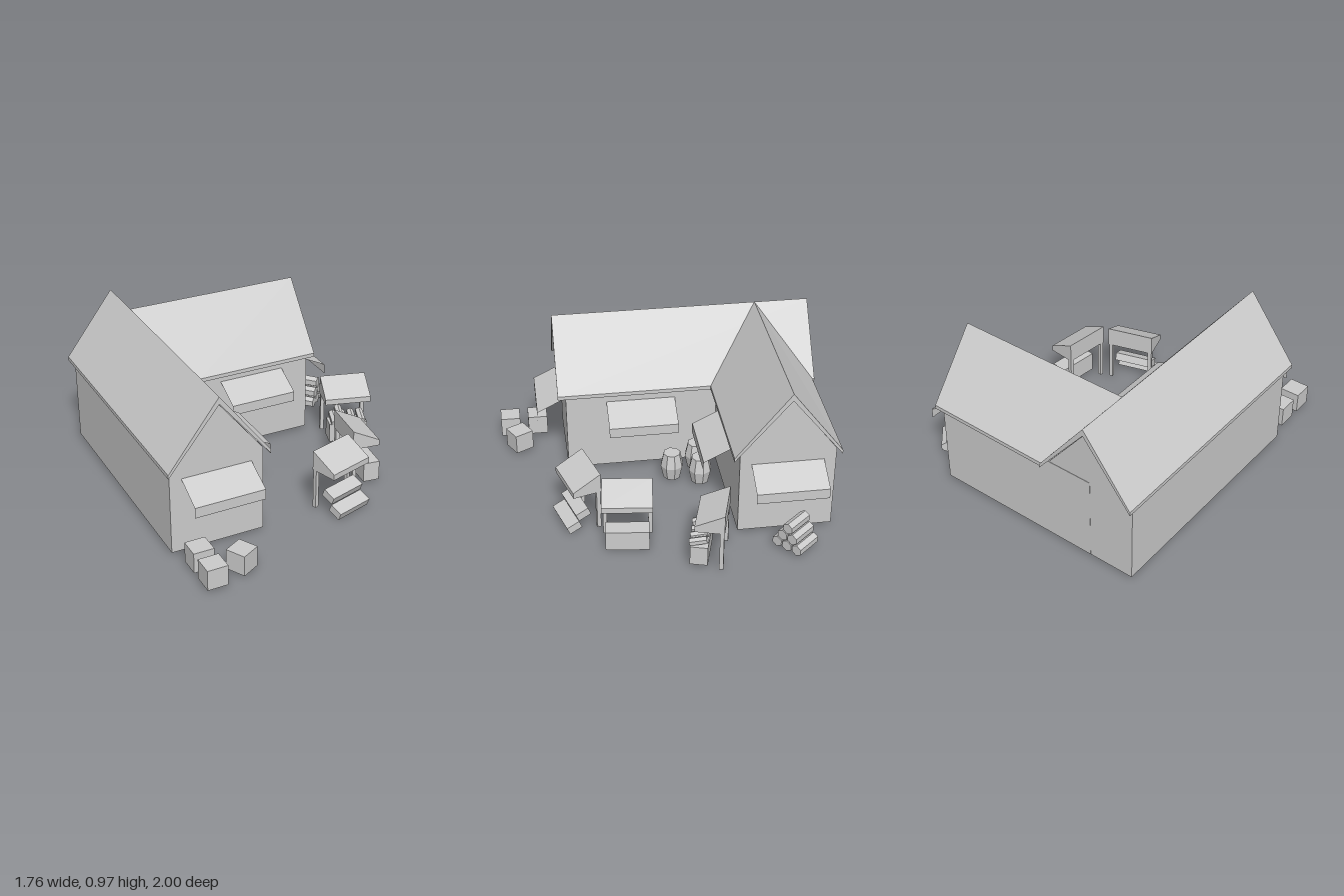
import * as THREE from 'three';

const BASE = 0.017;
const grey = new THREE.MeshStandardMaterial({ color: 0xcccccc, flatShading: true });
const greySheet = new THREE.MeshStandardMaterial({ color: 0xcccccc, flatShading: true, side: THREE.DoubleSide });

function add(parent, name, geometry, x = 0, y = 0, z = 0, ry = 0, material = grey) {
  const mesh = new THREE.Mesh(geometry, material);
  mesh.name = name;
  mesh.position.set(x, y, z);
  mesh.rotation.y = ry;
  parent.add(mesh);
  return mesh;
}

// closed outline extruded along z from 0 to length
function prism(points, length) {
  const shape = new THREE.Shape(points.map(([x, y]) => new THREE.Vector2(x, y)));
  return new THREE.ExtrudeGeometry(shape, { depth: length, bevelEnabled: false });
}

function gableWalls(half, length) {
  return prism([[-half, BASE], [half, BASE], [half, 0.56], [0, 0.925], [-half, 0.56]], length);
}

function gableRoof(half, length) {
  return prism([[-half, 0.54], [0, 0.93], [half, 0.54], [half, 0.565], [0, 0.975], [-half, 0.565]], length);
}

// bent sheet: sloping top and hanging front lip, wall side at z = 0
function awningSheet() {
  const g = new THREE.PlaneGeometry(0.435, 1, 1, 2);
  const rows = [[0.49, 0], [0.4, 0.18], [0.335, 0.18]];
  const p = g.attributes.position;
  for (let i = 0; i < p.count; i++) {
    const [y, z] = rows[Math.floor(i / 2)];
    p.setXYZ(i, p.getX(i), y, z);
  }
  const flat = g.toNonIndexed();
  flat.computeVertexNormals();
  return flat;
}

function logGeometry(radius, length) {
  return new THREE.CylinderGeometry(radius, radius, length, 6).rotateX(Math.PI / 2);
}

// market stall: wedge roof on two rear posts, front towards local +z
function stall(parent, name, x, z, ry) {
  const group = new THREE.Group();
  group.name = name;
  group.position.set(x, 0, z);
  group.rotation.y = ry;
  parent.add(group);
  const d = 0.0875;
  const roof = prism([[-d, 0.275], [d, 0.275], [d, 0.312], [-d, 0.4]], 0.3);
  roof.translate(0, 0, -0.15).rotateY(-Math.PI / 2);
  add(group, 'stallRoof', roof);
  for (const side of [-1, 1]) {
    add(group, 'stallPost', new THREE.BoxGeometry(0.024, 0.262, 0.024), side * 0.135, 0.146, -0.072);
  }
  return group;
}

export function createModel() {
  const model = new THREE.Group();
  model.name = 'marketHouse';

  // L-shaped house: long wing along z, side wing along x
  const ridgeX = -0.568, ridgeZ = -0.658;
  add(model, 'longWingWalls', gableWalls(0.29, 1.53), ridgeX, 0, -0.945);
  add(model, 'longWingRoof', gableRoof(0.314, 1.635), ridgeX, 0, -1);
  add(model, 'sideWingWalls', gableWalls(0.288, 1.093).rotateY(Math.PI / 2), ridgeX, 0, ridgeZ);

  // side roof, mitred into the valleys of the long roof
  const roofHalf = 0.328;
  const sideRoof = gableRoof(roofHalf, 1.128).rotateY(Math.PI / 2);
  const p = sideRoof.attributes.position;
  for (let i = 0; i < p.count; i++) {
    if (p.getX(i) < 0.5) p.setX(i, (Math.abs(p.getZ(i)) / roofHalf) * 0.314);
    else if (p.getZ(i) < -0.1) p.setZ(i, p.getZ(i) + 0.012);
  }
  sideRoof.computeVertexNormals();
  add(model, 'sideWingRoof', sideRoof, ridgeX, 0, ridgeZ);

  // wall awnings
  const quarter = Math.PI / 2;
  for (const [x, z, ry] of [[-0.568, 0.585, 0], [-0.277, 0.113, quarter], [0.123, -0.369, 0], [0.525, -0.657, quarter]]) {
    add(model, 'awning', awningSheet(), x, 0, z, ry, greySheet);
  }

  // crates by the front gable
  for (const [x, z, ry] of [[-0.762, 0.937, 0], [-0.762, 0.757, 0], [-0.562, 0.885, 0.5]]) {
    add(model, 'crate', new THREE.BoxGeometry(0.126, 0.128, 0.126), x, BASE + 0.064, z, ry);
  }

  // barrels in the inner corner
  const barrelProfile = [[0, BASE], [0.055, BASE], [0.074, 0.106], [0.055, 0.195], [0, 0.195]]
    .map(([r, y]) => new THREE.Vector2(r, y));
  for (const [x, z] of [[-0.182, -0.23], [-0.09, -0.06], [-0.02, -0.23]]) {
    add(model, 'barrel', new THREE.LatheGeometry(barrelProfile, 8), x, 0, z, 0.15);
  }

  // log pile against the side wall
  const pile = new THREE.Group();
  pile.name = 'logPile';
  pile.position.set(0.7, 0, -0.685);
  pile.rotation.y = 0.72;
  model.add(pile);
  for (let row = 0; row < 3; row++) {
    for (let i = 0; i < 3 - row; i++) {
      add(pile, 'log', logGeometry(0.036, 0.175), (i - (2 - row) / 2) * 0.07, 0.05 + row * 0.062, 0);
    }
  }

  // stall with a counter and rolls laid out on top
  const rollStall = stall(model, 'rollStall', 0.714, -0.18, -0.285);
  add(rollStall, 'counter', new THREE.BoxGeometry(0.25, 0.126, 0.105), 0, 0.08, 0.062);
  for (const [x, y] of [[-0.09, 0.166], [-0.03, 0.166], [0.03, 0.166], [0.09, 0.166], [-0.055, 0.204]]) {
    add(rollStall, 'roll', logGeometry(0.025, 0.105), x, y, 0.068).rotation.x = 0.28;
  }

  // stall with a plain counter
  const plainStall = stall(model, 'plainStall', 0.52, 0.294, Math.PI / 2 - 0.12);
  add(plainStall, 'counter', new THREE.BoxGeometry(0.26, 0.128, 0.105), 0, BASE + 0.064, 0.052);

  // stall with two tilted display trays
  const trayStall = stall(model, 'trayStall', 0.255, 0.56, 0.287);
  for (const [y, z] of [[0.12, 0.02], [0.039, 0.08]]) {
    add(trayStall, 'tray', new THREE.BoxGeometry(0.25, 0.05, 0.085), 0, y, z).rotation.x = 0.38;
  }

  return model;
}
